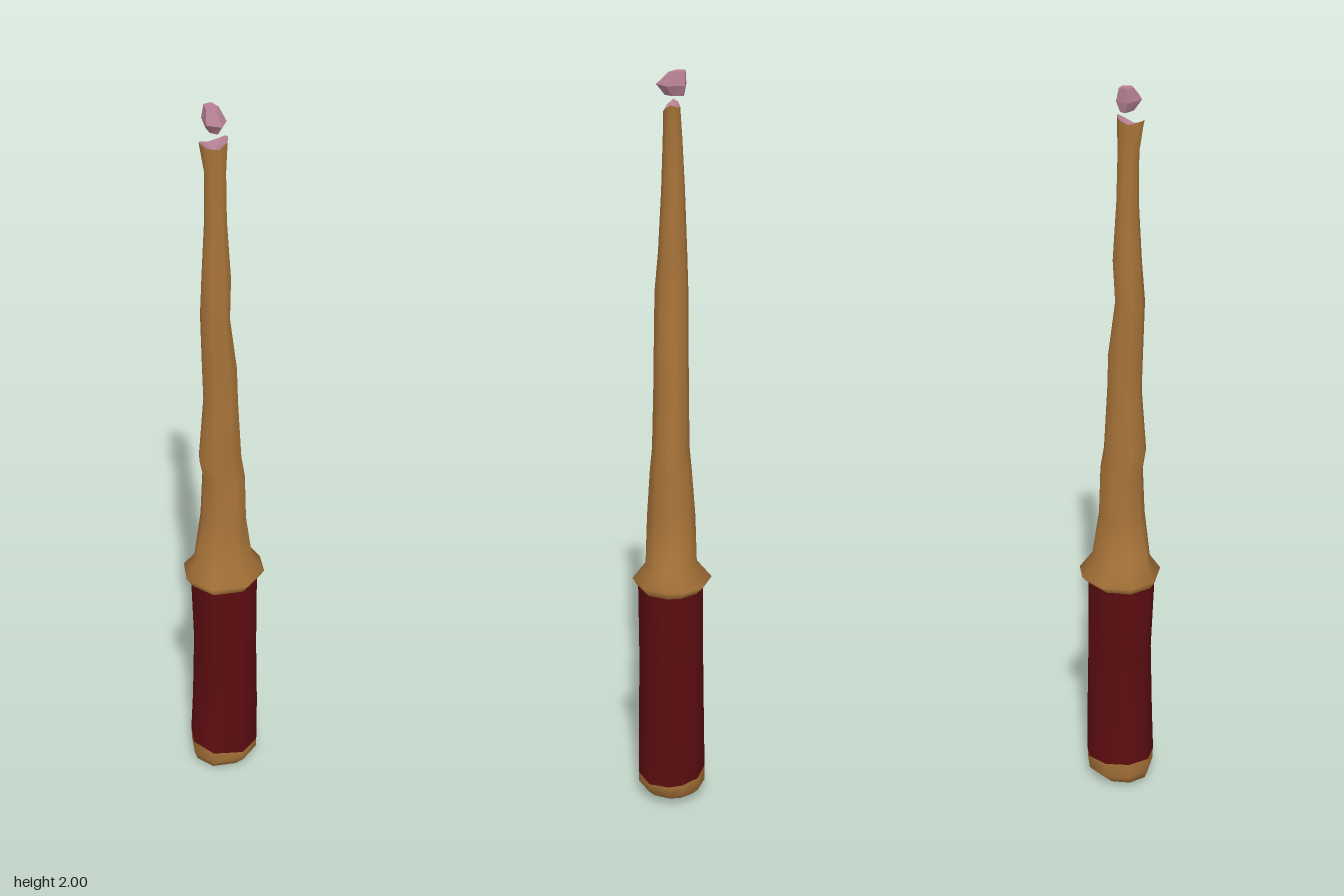
import * as THREE from 'three';

// Uneven nine-sided cross-section, directions in degrees
const SIDES = [0, 37, 82, 134, 180, 221, 262, 303, 336].map(a => a * Math.PI / 180);

// Rings are [y, xMin, xMax, zMin, zMax, tiltX, tiltZ, notch], listed from bottom to top
function loft(rings, angles = SIDES) {
  const pos = [], idx = [], n = angles.length;
  for (const [y, x0, x1, z0, z1, tiltX = 0, tiltZ = 0, notch = 0] of rings) {
    for (const a of angles) {
      const x = (x0 + x1) / 2 + (x1 - x0) / 2 * Math.cos(a);
      const z = (z0 + z1) / 2 + (z1 - z0) / 2 * Math.sin(a);
      pos.push(x, y + tiltX * x + tiltZ * z + notch * Math.cos(a) ** 2, z);
    }
  }
  for (let i = 0; i < rings.length - 1; i++) {
    for (let j = 0; j < n; j++) {
      const a = i * n + j, b = i * n + (j + 1) % n;
      idx.push(a, a + n, b, b, a + n, b + n);
    }
  }
  const g = new THREE.BufferGeometry();
  g.setAttribute('position', new THREE.Float32BufferAttribute(pos, 3));
  g.setIndex(idx);
  g.computeVertexNormals();
  return g;
}

export function createModel() {
  const group = new THREE.Group();
  const material = (name, color) => {
    const m = new THREE.MeshStandardMaterial({ color });
    m.name = name;
    return m;
  };
  const wood = material('wood', 0xa87439);
  const leather = material('red grip', 0x5c0d10);
  const crystal = material('pink crystal', 0xb47f92);
  const add = (name, geometry, mat) => {
    const mesh = new THREE.Mesh(geometry, mat);
    mesh.name = name;
    group.add(mesh);
  };

  // Rings shared between neighbouring parts
  const gripBottom = [0.07, -0.095, 0.094, -0.09, 0.09, -0.08, -0.08];
  const gripTop = [0.62, -0.095, 0.09, -0.083, 0.09];
  const rim = [1.902, -0.07, 0.01, -0.018, 0.024, 0, -0.2, 0.018];

  // Rounded butt end
  add('butt', loft([
    [0, -0.01, -0.01, 0, 0],
    [0.012, -0.083, 0.064, -0.07, 0.07],
    [0.035, -0.092, 0.092, -0.09, 0.09],
    gripBottom,
  ]), wood);

  // Wrapped grip
  add('grip', loft([
    gripBottom,
    [0.2, -0.089, 0.094, -0.088, 0.09],
    [0.4, -0.084, 0.09, -0.085, 0.087],
    gripTop,
  ]), leather);

  // Collar and gnarled, tapering shaft
  add('shaft', loft([
    gripTop,
    [0.645, -0.112, 0.112, -0.106, 0.105],
    [0.69, -0.086, 0.08, -0.066, 0.07],
    [0.82, -0.063, 0.057, -0.062, 0.066],
    [0.95, -0.06, 0.055, -0.052, 0.058],
    [1.01, -0.073, 0.046, -0.045, 0.053],
    [1.18, -0.056, 0.034, -0.043, 0.049],
    [1.28, -0.06, 0.031, -0.042, 0.048],
    [1.43, -0.063, 0.009, -0.04, 0.047],
    [1.54, -0.059, 0.016, -0.037, 0.037],
    [1.7, -0.05, 0.005, -0.031, 0.029],
    [1.83, -0.053, 0.004, -0.024, 0.025],
    rim,
  ]), wood);

  // Hollow between the two prongs of the tip
  add('tipHollow', loft([rim, [1.885, -0.03, -0.03, 0, 0]]), crystal);

  // Floating faceted crystal
  const five = [0, 1, 2, 3, 4].map(i => (0.25 + i / 5) * 2 * Math.PI);
  const gem = loft([
    [1.938, -0.028, -0.028, -0.005, -0.005],
    [1.938, -0.04, -0.014, -0.033, 0.02],
    [1.965, -0.056, 0.002, -0.04, 0.042],
    [1.997, -0.046, -0.01, -0.035, 0.01, 0, -0.1],
    [1.998, -0.028, -0.028, -0.016, -0.016],
  ], five).toNonIndexed();
  gem.computeVertexNormals();
  add('crystal', gem, crystal);

  return group;
}
